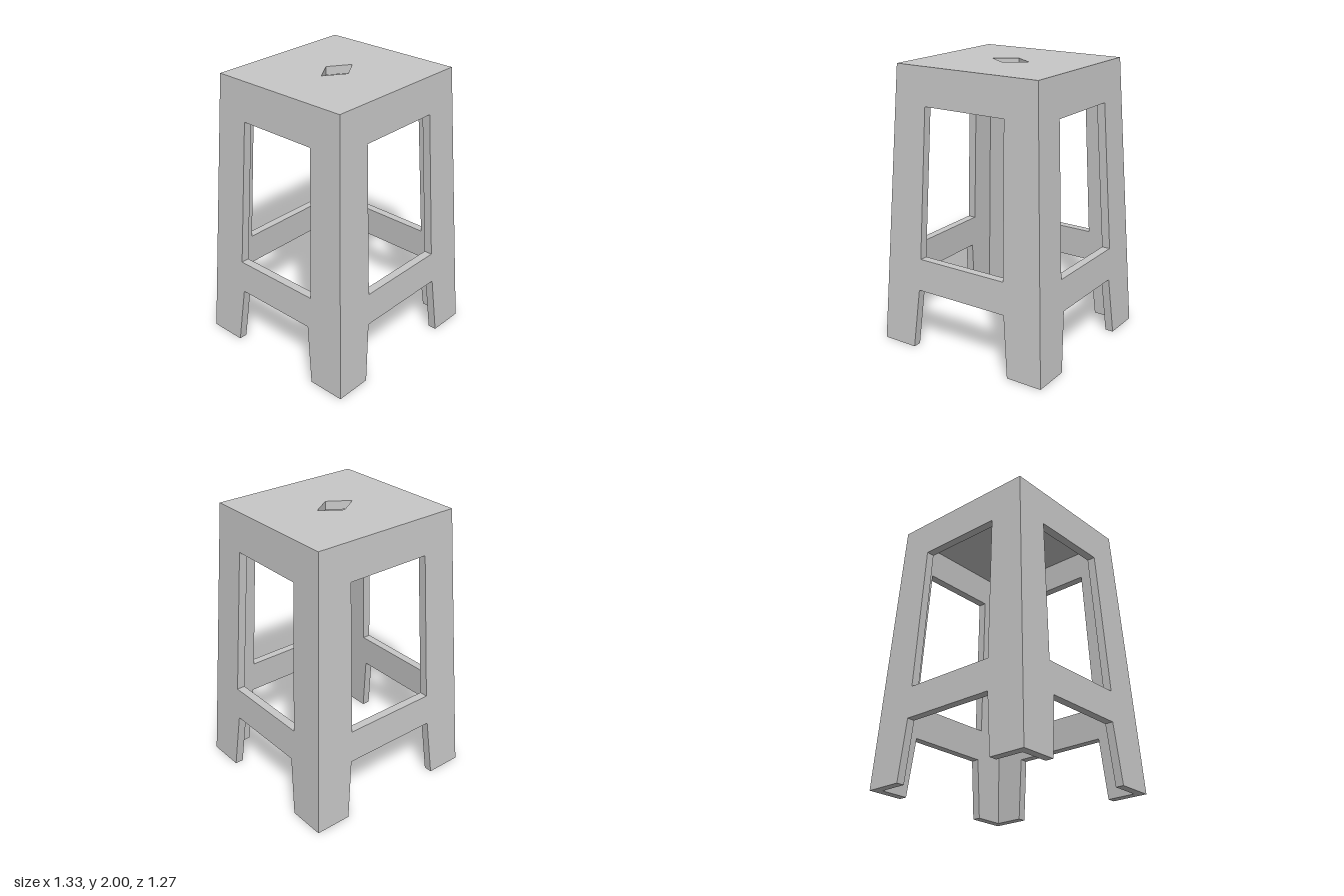
import * as THREE from 'three';

const H = 2, T = 0.06; // height and wall thickness
const halfX = y => 0.665 - 0.055 * y; // tapering half-width
const halfZ = y => 0.635 - 0.055 * y; // tapering half-depth
const near = (a, b) => Math.abs(a - b) < 1e-4;
const points = list => list.map(([x, y]) => new THREE.Vector2(x, y));

// Extrudes a shape, leaves out the hidden joint faces and moves each point by a rule
function shell(shape, onJoint, place) {
  const solid = new THREE.ExtrudeGeometry(shape, { depth: T, bevelEnabled: false });
  const source = (solid.index ? solid.toNonIndexed() : solid).attributes.position;
  const out = [];
  for (let i = 0; i < source.count; i += 3) {
    const tri = [0, 1, 2].map(k => new THREE.Vector3().fromBufferAttribute(source, i + k));
    if (tri.every(onJoint)) continue;
    tri.forEach(p => out.push(...place(p, onJoint(p))));
  }
  const geometry = new THREE.BufferGeometry();
  geometry.setAttribute('position', new THREE.Float32BufferAttribute(out, 3));
  geometry.computeVertexNormals();
  return geometry;
}

// Sloping wall: two legs, a rung and an apron, mitred into its neighbours
function wall(half, out, o) {
  const shape = new THREE.Shape(points([
    [-half(0), 0], [-o.foot, 0], [-o.arch, o.archY], [o.arch, o.archY],
    [o.foot, 0], [half(0), 0], [half(H), H], [-half(H), H],
  ]));
  shape.holes.push(new THREE.Path(points([
    [-o.low, o.lowY], [-o.high, o.highY], [o.high, o.highY], [o.low, o.lowY],
  ])));
  const onJoint = p => near(Math.abs(p.x), half(p.y)) || near(p.y, H);
  return shell(shape, onJoint, (p, joint) => {
    const inner = p.z < T / 2;
    const y = inner && near(p.y, H) ? H - T : p.y;
    const x = joint ? Math.sign(p.x) * (half(y) - (inner ? T : 0)) : p.x;
    return [x, y, out(y) - (inner ? T : 0)];
  });
}

// Square top with a diamond-shaped grip hole
function seat() {
  const w = halfX(H), d = halfZ(H);
  const shape = new THREE.Shape(points([[-w, -d], [w, -d], [w, d], [-w, d]]));
  shape.holes.push(new THREE.Path(points([[-0.15, 0], [0, 0.1], [0.15, 0], [0, -0.1]])));
  const onJoint = p => near(Math.abs(p.x), w) && near(Math.abs(p.y), d);
  return shell(shape, onJoint, (p, joint) => {
    const y = H - T + p.z;
    const inset = p.z < T / 2 ? T : 0;
    return joint
      ? [Math.sign(p.x) * (halfX(y) - inset), y, -Math.sign(p.y) * (halfZ(y) - inset)]
      : [p.x, y, -p.y];
  });
}

export function createModel() {
  const group = new THREE.Group();
  group.name = 'stool';
  const grey = new THREE.MeshStandardMaterial({ color: 0xc8c8c8 });
  grey.name = 'light grey';

  const add = (name, geometry, turn = 0) => {
    const mesh = new THREE.Mesh(geometry, grey);
    mesh.name = name;
    mesh.rotation.y = turn;
    group.add(mesh);
  };

  add('seat', seat());

  const wide = wall(halfX, halfZ, {
    foot: 0.4, arch: 0.357, archY: 0.44, low: 0.345, lowY: 0.67, high: 0.315, highY: 1.737,
  });
  const narrow = wall(halfZ, halfX, {
    foot: 0.365, arch: 0.315, archY: 0.43, low: 0.335, lowY: 0.662, high: 0.295, highY: 1.723,
  });
  add('frontWall', wide);
  add('leftWall', narrow, Math.PI / 2);
  add('backWall', wide, Math.PI);
  add('rightWall', narrow, -Math.PI / 2);
  return group;
}
